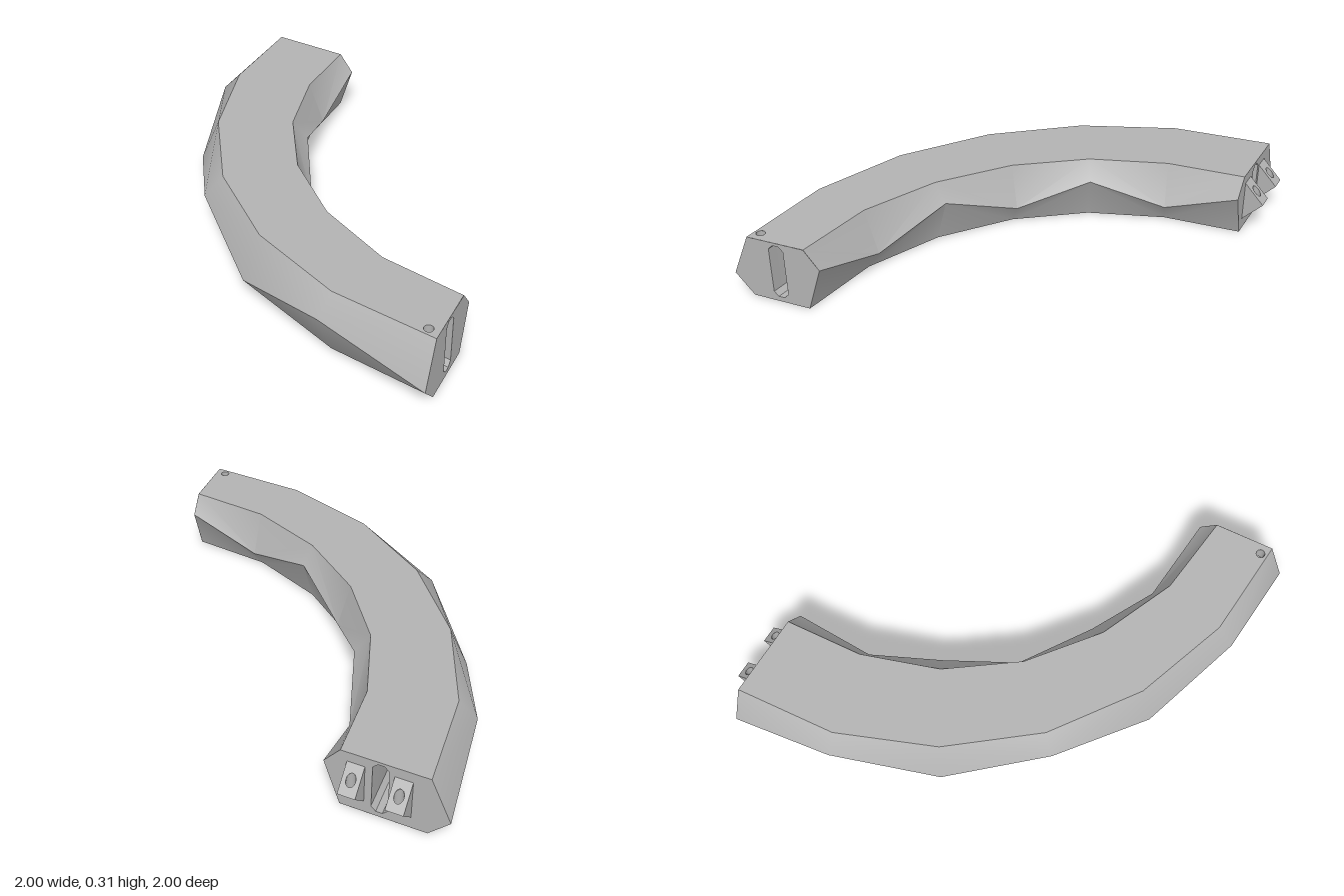
import * as THREE from 'three';
import { mergeGeometries, toCreasedNormals } from 'three/addons/utils/BufferGeometryUtils.js';

const H = 0.31, LOW = 0.1, HIGH = 0.22, MID = 0.16, BOLT = 0.021;

// plan curves [x, z], running from the back end to the left end
const outerRim = [[-0.905, -0.907], [-0.855, -0.42], [-0.665, 0.035], [-0.36, 0.42], [0.04, 0.707], [0.5, 0.87], [0.993, 0.905]];
const outerRidge = [[-1, -0.909], [-0.94, -0.4], [-0.745, 0.08], [-0.42, 0.49], [0, 0.79], [0.485, 0.96], [1, 0.995]];
const innerRim = [[-0.51, -0.899], [-0.475, -0.52], [-0.345, -0.155], [-0.115, 0.16], [0.2, 0.41], [0.57, 0.57], [0.97, 0.618]];
const innerRidge = [[-0.435, -0.897], [-0.405, -0.54], [-0.28, -0.19], [-0.07, 0.11], [0.22, 0.345], [0.58, 0.498], [0.965, 0.545]];

const steel = new THREE.MeshStandardMaterial({ color: 0xb3b3b3, side: THREE.DoubleSide });
steel.name = 'grey';

function add(parent, name, geometry) {
  const mesh = new THREE.Mesh(geometry, steel);
  mesh.name = name;
  parent.add(mesh);
  return mesh;
}

function fromTriangles(points) {
  const g = new THREE.BufferGeometry().setFromPoints(points);
  g.computeVertexNormals();
  return g;
}

// skin over rows of points; the quad diagonals alternate row by row
function skin(rows, parity, closed = false) {
  const tri = [];
  const n = rows[0].length;
  for (let i = 0; i < rows.length - 1; i++) {
    for (let j = 0; j < (closed ? n : n - 1); j++) {
      const k = (j + 1) % n;
      const a = rows[i][j], b = rows[i + 1][j], c = rows[i + 1][k], d = rows[i][k];
      if (i % 2 === parity) tri.push(a, b, d, b, c, d);
      else tri.push(a, b, c, a, c, d);
    }
  }
  return toCreasedNormals(fromTriangles(tri), 0.5);
}

// long octagon of the cable channel, centred on (u, MID)
function octagon(u) {
  const w = 0.037, h = 0.135, c = 0.022;
  return [[w, c - h], [w, h - c], [w - c, h], [c - w, h], [-w, h - c], [-w, c - h], [c - w, -h], [w - c, -h]]
    .map(([x, y]) => new THREE.Vector2(u + x, MID + y));
}

function circle(x, y) {
  return new THREE.Path().absarc(x, y, BOLT, 0, Math.PI * 2, true);
}

// flat geometry whose vertices are moved by a rule
function mapped(shape, rule, flip) {
  const flat = new THREE.ShapeGeometry(shape, 16).toNonIndexed();
  const p = flat.attributes.position;
  const pts = [];
  for (let i = 0; i < p.count; i += 3) {
    for (const k of flip ? [0, 2, 1] : [0, 1, 2]) pts.push(rule(p.getX(i + k), p.getY(i + k)));
  }
  return fromTriangles(pts);
}

// vertical bolt bore between two height rules
function bore(parent, u, w, top, bottom) {
  const g = new THREE.CylinderGeometry(BOLT, BOLT, 2, 16, 1, true);
  g.scale(-1, 1, 1);
  g.translate(u, 0, w);
  const p = g.attributes.position;
  for (let i = 0; i < p.count; i++) p.setY(i, (p.getY(i) > 0 ? top : bottom)(p.getZ(i)));
  add(parent, 'boltBore', g);
}

// V wedge: a tab when depth is positive, a pocket when negative
function wedge(parent, name, u, half, depth, height) {
  const slope = s => w => MID + s * height * (1 - w / depth);
  const plan = new THREE.Shape([[-half, 0], [half, 0], [half, depth], [-half, depth]]
    .map(([x, y]) => new THREE.Vector2(u + x, y)));
  plan.holes.push(circle(u, depth / 2));
  const parts = [];
  for (const s of [1, -1]) {
    parts.push(mapped(plan, (x, w) => new THREE.Vector3(x, slope(s)(w), w), s * depth > 0));
    const x = u + s * half;
    const side = [new THREE.Vector3(x, MID - height, 0), new THREE.Vector3(x, MID, depth), new THREE.Vector3(x, MID + height, 0)];
    parts.push(fromTriangles(s > 0 ? side.reverse() : side));
  }
  for (const g of parts) g.deleteAttribute('uv');
  add(parent, name, mergeGeometries(parts));
  return slope;
}

// end frame: local x runs across the end, local z points out of it
function endFrame(name, from, to) {
  const g = new THREE.Group();
  g.name = name;
  g.position.set(from[0], 0, from[1]);
  g.rotation.y = Math.atan2(from[1] - to[1], to[0] - from[0]);
  g.updateMatrix();
  return g;
}

function cap(frame, section, slotU) {
  const inverse = frame.matrix.clone().invert();
  const shape = new THREE.Shape(section.map(p => {
    const q = p.clone().applyMatrix4(inverse);
    return new THREE.Vector2(q.x, q.y);
  }));
  shape.holes.push(new THREE.Path(octagon(slotU).reverse()));
  add(frame, 'endPlate', new THREE.ShapeGeometry(shape));
}

export function createModel() {
  const model = new THREE.Group();
  model.name = 'curvedSegment';
  const at = ([x, z], y) => new THREE.Vector3(x, y, z);

  // faceted side walls with a zigzag ridge
  const outer = outerRim.map((p, i) => [at(p, 0), at(outerRidge[i], i % 2 ? HIGH : LOW), at(p, H)]);
  const inner = innerRim.map((p, i) => [at(p, H), at(innerRidge[i], i % 2 ? LOW : HIGH), at(p, 0)]);
  add(model, 'outerWall', skin(outer, 0));
  add(model, 'innerWall', skin(inner, 1));

  // end plates
  const last = outerRim.length - 1;
  const backEnd = endFrame('backEnd', innerRidge[0], outerRidge[0]);
  const leftEnd = endFrame('leftEnd', outerRidge[last], innerRidge[last]);
  model.add(backEnd, leftEnd);
  const backSlot = 0.255, leftSlot = 0.235;
  cap(backEnd, [...outer[0], ...inner[0]], backSlot);
  cap(leftEnd, [...outer[last], ...inner[last]], leftSlot);

  // pair of drilled tabs on the back end
  for (const u of [0.145, 0.355]) {
    const slope = wedge(backEnd, 'lockTab', u, 0.04, 0.097, 0.1);
    bore(backEnd, u, 0.0485, slope(1), slope(-1));
  }

  // matching pocket on the left end, with a bolt bore from top to bottom
  const pocketU = 0.131, pocketDepth = -0.1;
  const slope = wedge(leftEnd, 'lockPocket', pocketU, 0.045, pocketDepth, 0.11);
  bore(leftEnd, pocketU, pocketDepth / 2, () => H, slope(1));
  bore(leftEnd, pocketU, pocketDepth / 2, slope(-1), () => 0);

  // top and bottom plates
  const hole = new THREE.Vector3(pocketU, 0, pocketDepth / 2).applyMatrix4(leftEnd.matrix);
  const outline = [...outerRim, ...innerRim.slice().reverse()];
  for (const s of [1, -1]) {
    const shape = new THREE.Shape(outline.map(([x, z]) => new THREE.Vector2(x, -s * z)));
    shape.holes.push(circle(hole.x, -s * hole.z));
    const g = new THREE.ShapeGeometry(shape, 16);
    g.rotateX(-s * Math.PI / 2);
    if (s > 0) g.translate(0, H, 0);
    add(model, s > 0 ? 'topPlate' : 'bottomPlate', g);
  }

  // cable channel running through the whole curve
  const profile = octagon(0).reverse();
  const rows = outerRim.map((p, i) => {
    const across = at(p, 0).sub(at(innerRim[i], 0)).normalize();
    const centre = at(p, 0).add(at(innerRim[i], 0)).multiplyScalar(0.5);
    if (i === 0) centre.set(backSlot, 0, 0).applyMatrix4(backEnd.matrix);
    if (i === last) centre.set(leftSlot, 0, 0).applyMatrix4(leftEnd.matrix);
    return profile.map(v => centre.clone().addScaledVector(across, v.x).setY(v.y));
  });
  add(model, 'cableChannel', skin(rows, 0, true));

  return model;
}
